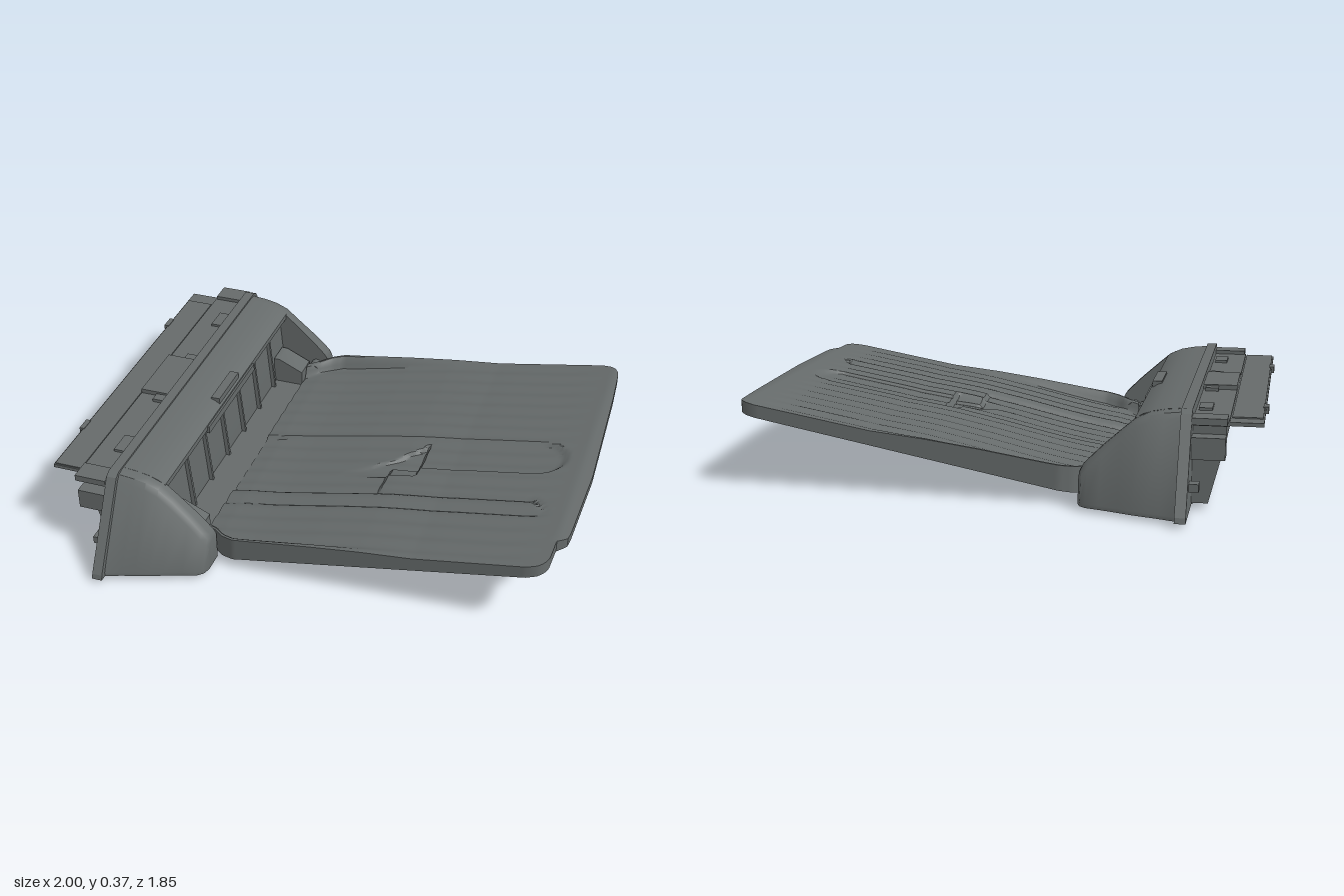
import * as THREE from 'three';
import { toCreasedNormals } from 'three/addons/utils/BufferGeometryUtils.js';

const { smoothstep, lerp } = THREE.MathUtils;

// Piecewise linear curve through [x, y] points
function curveAt(points, x) {
  for (let i = 1; i < points.length; i++) {
    const [x0, y0] = points[i - 1], [x1, y1] = points[i];
    if (x <= x1) return lerp(y0, y1, Math.max(0, (x - x0) / (x1 - x0)));
  }
  return points[points.length - 1][1];
}

// Skin over rings: each runs along the top and back along the bottom
function loft(rings, crease = 0.6) {
  const n = rings[0].length, last = (rings.length - 1) * n, index = [];
  const quad = (a, b, c, d) => index.push(a, b, d, b, c, d);
  for (let i = 0; i < rings.length - 1; i++) {
    for (let j = 0; j < n; j++) {
      const k = (j + 1) % n;
      quad(i * n + j, i * n + k, (i + 1) * n + k, (i + 1) * n + j);
    }
  }
  for (let j = 0; j < n / 2 - 1; j++) {
    quad(n - 1 - j, n - 2 - j, j + 1, j);
    quad(last + j, last + j + 1, last + n - 2 - j, last + n - 1 - j);
  }
  const g = new THREE.BufferGeometry();
  g.setAttribute('position', new THREE.Float32BufferAttribute(rings.flat(2), 3));
  g.setIndex(index);
  return toCreasedNormals(g, crease);
}

// Side profile in x, y extruded across z
function slab(points, z0, z1) {
  const shape = new THREE.Shape(points.map(([x, y]) => new THREE.Vector2(x, y)));
  const g = new THREE.ExtrudeGeometry(shape, { depth: z1 - z0, bevelEnabled: false });
  g.translate(0, 0, z0);
  return toCreasedNormals(g, 0.5);
}

const RIM = [[-0.41, 0.115], [-0.34, 0.13], [-0.2, 0.15], [0.05, 0.19], [0.25, 0.218], [0.45, 0.24], [0.95, 0.33], [1, 0.325]];
const HALF_WIDTH = [[-0.41, 0.6], [-0.35, 0.63], [-0.31, 0.665], [-0.26, 0.685], [1, 0.688]];
const FREE_END = [[-0.69, 0.965], [-0.45, 0.98], [0.1, 1], [0.46, 0.99], [0.5, 0.985], [0.53, 0.95], [0.69, 0.945]];

const trayBottom = (x) => 0.03 + (x + 0.34) * 0.195;

// Far edge of the tray with rounded corners
function trayEnd(z) {
  const r = 0.07, d = Math.min(r, Math.max(0, Math.abs(z) - 0.688 + r));
  return curveAt(FREE_END, z) - r + Math.sqrt(r * r - d * d);
}

// Tray surface: side rims, fine ribs, channels and the finger pocket
function trayTop(x, z) {
  const edge = curveAt(HALF_WIDTH, x) - Math.abs(z);
  const inside = smoothstep(edge, 0.012, 0.045);
  let y = curveAt(RIM, x) - 0.05 * (1 - smoothstep(x, -0.4, 0.55)) * inside;
  y += 0.003 * inside * Math.cos(z * 75) * (1 - smoothstep(x, 0.75, 0.92));
  const band = (a, b) => smoothstep(z, a - 0.006, a + 0.006) * (1 - smoothstep(z, b - 0.006, b + 0.006));
  const fade = 1 - smoothstep(x, 0.83, 0.89);
  // Finger-shaped channel with a round tip
  const tip = 0.78 + Math.sqrt(Math.max(0, 0.0096 - (z - 0.012) ** 2));
  y -= 0.014 * band(-0.085, x < 0.2 ? 0.285 : 0.11) * (1 - smoothstep(x, tip - 0.012, tip + 0.012));
  // Sloping pocket with a curved side
  if (x > 0 && x < 0.32) {
    const side = 0.13 - 0.2 * (x / 0.32) ** 2;
    y -= 0.022 * (x / 0.32) * band(side, 0.17);
  }
  // Long seams of the extension panel
  const bend = 0.285 + 0.09 * smoothstep(x, 0.8, 0.9);
  y -= 0.012 * Math.max(0, 1 - Math.abs(z - bend) / 0.016) * fade;
  y -= 0.006 * Math.max(0, 1 - Math.abs(z - 0.38) / 0.012) * fade;
  return Math.max(y, trayBottom(x) + 0.012);
}

function trayGeometry() {
  const rings = [], NX = 100, NZ = 130;
  for (let i = 0; i <= NX; i++) {
    const top = [], bottom = [], t = i / NX;
    for (let j = 0; j <= NZ; j++) {
      const s = (j / NZ) * 2 - 1;
      const xEnd = trayEnd(s * 0.688);
      const x = lerp(-0.41, xEnd, t);
      const z = s * curveAt(HALF_WIDTH, x);
      top.push([x, trayTop(x, z), z]);
      bottom.unshift([x, Math.max(0.018, trayBottom(x)), z]);
    }
    rings.push([...top, ...bottom]);
  }
  return loft(rings);
}

// Tapered end of the housing: x, outer foot z, top z, top y
const CHEEK = [
  [-0.71, 0.9, 0.69, 0.367], [-0.64, 0.875, 0.69, 0.36], [-0.59, 0.86, 0.69, 0.35], [-0.54, 0.845, 0.69, 0.328],
  [-0.49, 0.825, 0.69, 0.285], [-0.42, 0.8, 0.695, 0.222], [-0.37, 0.785, 0.7, 0.172], [-0.347, 0.765, 0.7, 0.147], [-0.337, 0.735, 0.695, 0.13],
];
function cheekGeometry(side) {
  return loft(CHEEK.map(([x, foot, topZ, y]) => {
    const ring = [
      [x, y, 0.65], [x, y, topZ - 0.015], [x, y - 0.006, topZ + 0.01], [x, y - 0.025, topZ + 0.027], [x, 0.03, foot],
      [x, 0.015, foot], [x, 0.015, topZ + 0.027], [x, 0.015, topZ + 0.01], [x, 0.015, topZ - 0.015], [x, 0.015, 0.65],
    ].map(([a, b, c]) => [a, b, c * side]);
    return side > 0 ? ring : ring.reverse();
  }));
}

export function createModel() {
  const model = new THREE.Group();
  model.name = 'trayAssembly';
  const grey = new THREE.MeshStandardMaterial({ color: 0x666b6b });
  grey.name = 'darkGrey';
  const add = (name, geometry) => {
    const mesh = new THREE.Mesh(geometry, grey);
    mesh.name = name;
    model.add(mesh);
    return mesh;
  };
  // Box given by its limits
  const box = (name, x0, x1, y0, y1, z0, z1) =>
    add(name, new THREE.BoxGeometry(x1 - x0, y1 - y0, z1 - z0)).position.set((x0 + x1) / 2, (y0 + y1) / 2, (z0 + z1) / 2);

  add('tray', trayGeometry());

  // Housing
  add('hood', slab([[-0.71, 0.015], [-0.54, 0.015], [-0.54, 0.05], [-0.56, 0.295], [-0.53, 0.3], [-0.53, 0.322],
    [-0.56, 0.34], [-0.6, 0.353], [-0.65, 0.362], [-0.71, 0.367]], -0.66, 0.66));
  box('housingFloor', -0.56, -0.37, 0.015, 0.046, -0.655, 0.655);
  box('hoodLip', -0.535, -0.522, 0.285, 0.315, -0.24, 0.25);
  box('latchTab', -0.575, -0.538, 0.32, 0.352, -0.105, 0.1);
  for (const z of [-0.48, -0.3, -0.12, 0.06, 0.24, 0.42]) {
    add('wallRib', slab([[-0.56, 0.04], [-0.522, 0.04], [-0.545, 0.29], [-0.565, 0.29]], z - 0.006, z + 0.006));
  }

  // Back flange, a trapezoid across z
  const flange = new THREE.Shape([[-0.925, 0.015], [0.925, 0.015], [0.92, 0.035], [0.725, 0.36], [0.7, 0.373],
    [-0.7, 0.373], [-0.725, 0.36], [-0.92, 0.035]].map(([z, y]) => new THREE.Vector2(z, y)));
  const flangeGeometry = new THREE.ExtrudeGeometry(flange, { depth: 0.04, bevelEnabled: false });
  flangeGeometry.rotateY(-Math.PI / 2).translate(-0.7, 0, 0);
  add('backFlange', flangeGeometry);

  // Rear mechanism
  add('rearBody', slab([[-0.8, 0.025], [-0.73, 0.025], [-0.73, 0.315], [-0.86, 0.315], [-0.86, 0.26]], -0.68, 0.67));
  box('rearTopPlate', -0.87, -0.73, 0.31, 0.335, -0.685, 0.675);
  box('rearCenterBlock', -0.87, -0.73, 0.33, 0.353, -0.14, 0.135);
  box('rearShelf', -0.99, -0.86, 0.313, 0.327, -0.685, 0.68);
  box('shelfStep', -0.985, -0.875, 0.32, 0.332, -0.615, 0.675);
  for (const s of [-1, 1]) {
    add(s > 0 ? 'leftCheek' : 'rightCheek', cheekGeometry(s));
    const pair = (name, x0, x1, y0, y1, za, zb) =>
      box(name, x0, x1, y0, y1, Math.min(za * s, zb * s), Math.max(za * s, zb * s));
    pair('rearBracketTop', -0.865, -0.74, 0.325, 0.35, 0.66, 0.745);
    pair('rearBracketBottom', -0.86, -0.74, 0.2, 0.28, 0.66, 0.745);
    pair('rearPad', -0.8, -0.75, 0.33, 0.345, 0.44, 0.54);
    pair('rearTab', -0.8, -0.75, 0.33, 0.348, 0.14, 0.18);
    pair('shelfStud', -1, -0.98, 0.31, 0.335, 0.38, 0.44);
    pair('flangeStud', -0.775, -0.73, 0.1, 0.13, 0.77, 0.82);
    pair('foot', -0.74, -0.71, 0, 0.02, 0.54, 0.61);
    pair('foot', -0.6, -0.56, 0.004, 0.02, 0.54, 0.61);
    // Hinge
    const [h0, h1] = s > 0 ? [0.53, 0.63] : [-0.63, -0.53];
    add('hingeBlock', slab([[-0.545, 0.04], [-0.415, 0.04], [-0.415, 0.11], [-0.52, 0.16], [-0.545, 0.16]], h0, h1));
    const pin = new THREE.CylinderGeometry(0.025, 0.025, 0.07, 20).rotateX(Math.PI / 2);
    add('hingePin', pin).position.set(-0.385, 0.09, s * 0.63);
  }
  return model;
}
